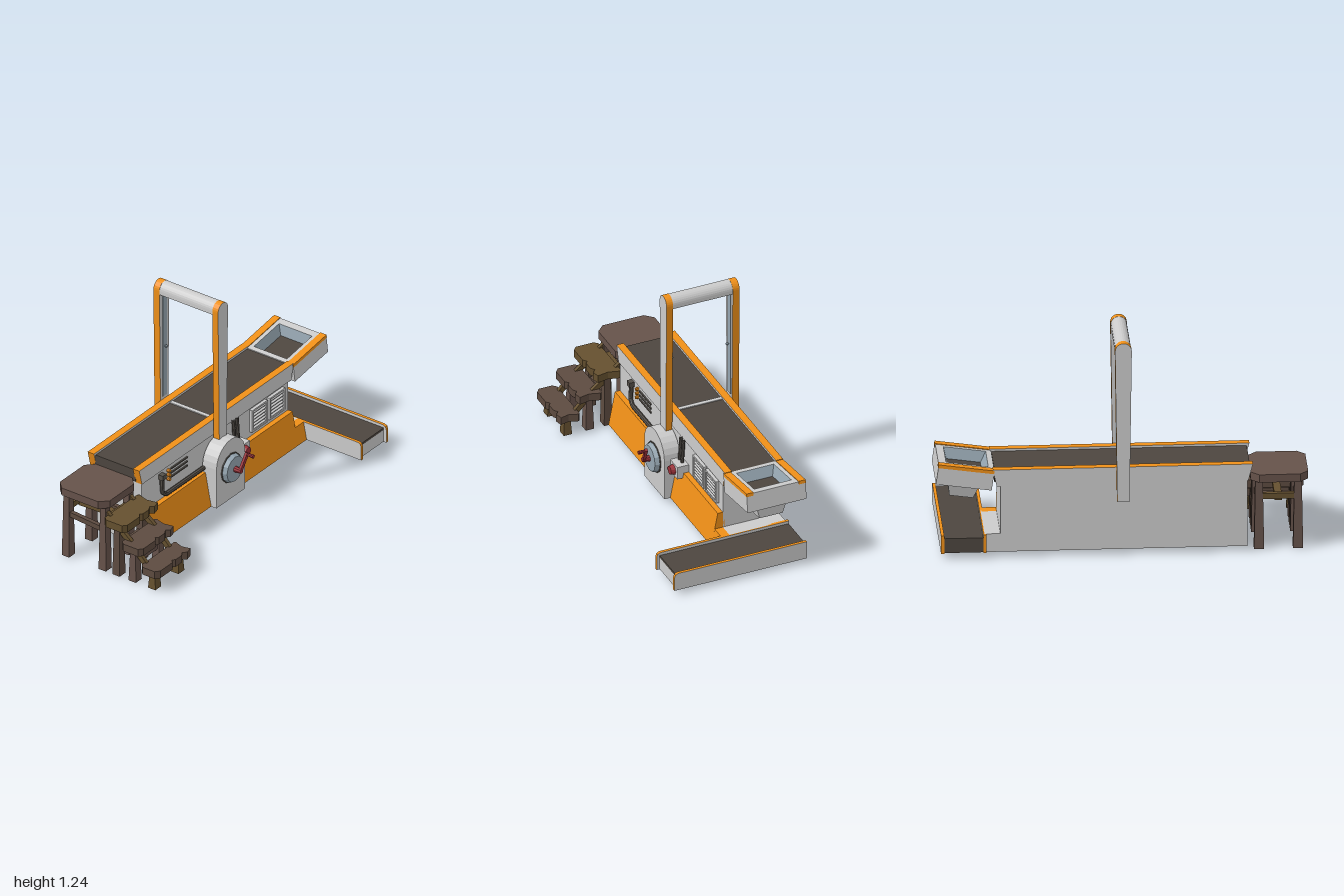
import * as THREE from 'three';

const mat = (color) => new THREE.MeshStandardMaterial({ color, flatShading: true });

export function createModel() {
  const root = new THREE.Group();
  const grey = mat(0xcccccc), orange = mat(0xf09018), dark = mat(0x4d463f);
  const blue = mat(0x95a5b0), red = mat(0x9a3038), pipeMat = mat(0x55504a);
  const brown = mat(0x66524a), olive = mat(0x65502f), umber = mat(0x5d4b40);
  const inner = mat(0x95a5b0);
  inner.side = THREE.DoubleSide;

  const add = (name, geo, material, parent = root) => {
    const m = new THREE.Mesh(geo, material);
    m.name = name;
    parent.add(m);
    return m;
  };
  // Box given by its limits on each axis
  const box = (name, material, x0, x1, y0, y1, z0, z1, parent = root) => {
    const m = add(name, new THREE.BoxGeometry(x1 - x0, y1 - y0, z1 - z0), material, parent);
    m.position.set((x0 + x1) / 2, (y0 + y1) / 2, (z0 + z1) / 2);
    return m;
  };
  const extrude = (shape, depth) =>
    new THREE.ExtrudeGeometry(shape, { depth, bevelEnabled: false, curveSegments: 8 });
  const poly = (pts) => new THREE.Shape(pts.map(([a, b]) => new THREE.Vector2(a, b)));
  // Side profile in [z, y], drawn out from x0 to x1
  const alongX = (name, material, pts, x0, x1) => {
    const g = extrude(poly(pts.map(([z, y]) => [-z, y])), x1 - x0).rotateY(Math.PI / 2);
    return add(name, g.translate(x0, 0, 0), material);
  };
  // Front profile in [x, y], drawn out from z0 to z1
  const alongZ = (name, material, pts, z0, z1) =>
    add(name, extrude(poly(pts), z1 - z0).translate(0, 0, z0), material);
  // Plan outline in [x, z], drawn out from y0 to y1
  const alongY = (name, material, pts, y0, y1) => {
    const g = extrude(poly(pts.map(([x, z]) => [x, -z])), y1 - y0).rotateX(-Math.PI / 2);
    return add(name, g.translate(0, y0, 0), material);
  };
  const arc = (r, cy, n = 12) => Array.from({ length: n + 1 }, (_, i) => {
    const a = (i / n) * Math.PI;
    return [r * Math.cos(a), cy + r * Math.sin(a)];
  });
  // Four-sided tapered block, w and d measured at the top
  const frustum = (w, d, h, k, open = false) =>
    new THREE.CylinderGeometry(Math.SQRT1_2, Math.SQRT1_2 * k, h, 4, 1, open)
      .rotateY(Math.PI / 4).scale(w, 1, d);
  // Straight bar between two points
  const bar = (name, material, a, b, w, d) => {
    const p = new THREE.Vector3(...a), q = new THREE.Vector3(...b);
    const m = add(name, new THREE.BoxGeometry(w, d, p.distanceTo(q)), material);
    m.position.copy(p).add(q).multiplyScalar(0.5);
    m.lookAt(q);
    return m;
  };
  const rodX = (name, material, r0, r1, x0, x1, y, z, n = 12) => {
    const m = add(name, new THREE.CylinderGeometry(r1, r0, x1 - x0, n), material);
    m.rotation.z = -Math.PI / 2;
    m.position.set((x0 + x1) / 2, y, z);
    return m;
  };

  // Main body and its flared lower panel
  box('body', grey, -0.363, -0.03, 0.03, 0.485, -0.66, 0.67);
  box('baseLink', grey, -0.363, -0.03, 0.03, 0.135, -0.745, -0.66);
  alongZ('lowerPanel', orange, [[-0.04, 0.03], [0.038, 0.03], [0, 0.23], [-0.04, 0.23]], -0.66, 0.67);
  alongZ('linkPanel', orange, [[-0.04, 0.03], [0.038, 0.03], [0.018, 0.135], [-0.04, 0.135]], -0.74, -0.66);

  // Belt and side rails
  const railSide = [[0.7, 0.505], [0.675, 0.41], [-0.68, 0.41], [-0.7, 0.505]].reverse();
  for (const x of [-0.367, -0.065]) alongX('rail', [grey, orange], railSide, x, x + 0.042);
  box('belt', dark, -0.33, -0.06, 0.42, 0.492, -0.69, 0.685);
  box('beltDivider', grey, -0.33, -0.06, 0.48, 0.497, -0.012, 0.012);

  // Tilted hopper at the back
  const hopper = new THREE.Group();
  hopper.name = 'hopper';
  hopper.position.set(-0.193, 0.518, -0.845);
  hopper.rotation.x = 0.142;
  root.add(hopper);
  const frame = poly([[-0.174, -0.155], [0.174, -0.155], [0.174, 0.148], [-0.174, 0.148]]);
  frame.holes.push(new THREE.Path([[-0.11, -0.125], [-0.11, 0.105], [0.11, 0.105], [0.11, -0.125]]
    .map(([x, y]) => new THREE.Vector2(x, y))));
  add('hopperFrame', extrude(frame, 0.11).rotateX(-Math.PI / 2).translate(0, -0.11, 0), grey, hopper);
  for (const s of [-1, 1])
    box('hopperRail', orange, s * 0.154 - 0.0205, s * 0.154 + 0.0205, -0.015, 0.004, -0.15, 0.155, hopper);
  add('hopperLining', frustum(0.22, 0.23, 0.06, 0.8, true), inner, hopper).position.set(0, -0.03, 0.01);
  box('hopperFloor', dark, -0.11, 0.11, -0.108, -0.058, -0.11, 0.125, hopper);
  add('hopperChute', frustum(0.19, 0.18, 0.1, 0.72), grey, hopper).position.set(0, -0.155, 0.01);

  // Arch over the belt
  const post = (low) => [[-0.033, low], [0.033, low], ...arc(0.045, 1.192)];
  alongX('archPostRight', [grey, orange], post(0.32).map(([z, y]) => [-z, y]), -0.41, -0.37);
  alongX('archPostLeft', [grey, orange], post(0.36).map(([z, y]) => [-z, y]), -0.017, 0.021);
  alongX('archBar', grey, [[-0.043, 1.17], [0.043, 1.17], ...arc(0.043, 1.193)].map(([z, y]) => [-z, y]), -0.372, -0.015);
  for (const [x, s] of [[-0.37, 1], [-0.017, -1]]) {
    box('postInset', blue, x - 0.003, x + 0.003, 0.52, 1.15, -0.018, 0.018);
    add('postSensor', new THREE.SphereGeometry(0.008, 8, 6), blue).position.set(x + s * 0.014, 0.832, 0);
    rodX('sensorStem', blue, 0.004, 0.004, x - 0.014, x + 0.014, 0.832, 0, 6);
  }

  // Crank housing, dial and crank
  alongX('housing', grey, [[-0.13, 0.03], [0.13, 0.03], ...arc(0.13, 0.27)].map(([z, y]) => [-z, y]), -0.02, 0.073);
  rodX('dial', blue, 0.086, 0.075, 0.07, 0.103, 0.225, 0);
  rodX('dialRim', pipeMat, 0.089, 0.089, 0.06, 0.078, 0.225, 0);
  rodX('crankHub', red, 0.018, 0.014, 0.1, 0.145, 0.225, 0, 8);
  bar('crankArm', red, [0.135, 0.215, 0.005], [0.145, 0.318, -0.052], 0.016, 0.018);
  rodX('crankHandle', red, 0.008, 0.011, 0.14, 0.19, 0.31, -0.048, 8);

  // Louvred vents
  for (const z of [-0.38, -0.54]) {
    box('ventBack', blue, -0.035, -0.022, 0.265, 0.395, z - 0.068, z + 0.068);
    for (const s of [-1, 1]) {
      box('ventSide', grey, -0.03, -0.012, 0.262, 0.398, z + s * 0.065 - 0.006, z + s * 0.065 + 0.006);
      box('ventEdge', grey, -0.03, -0.012, 0.33 + s * 0.064 - 0.005, 0.33 + s * 0.064 + 0.005, z - 0.07, z + 0.07);
    }
    for (let i = 0; i < 6; i++) {
      const slat = box('ventSlat', grey, -0.027, -0.012, -0.004, 0.004, z - 0.053, z + 0.053);
      slat.position.y = 0.28 + i * 0.02;
      slat.rotation.z = -0.4;
    }
  }

  // Indicator buttons, slots and pipework
  for (const y of [0.38, 0.354, 0.328]) {
    rodX('indicator', orange, 0.011, 0.009, -0.035, -0.012, y, 0.432, 8);
    box('slot', pipeMat, -0.035, -0.022, y - 0.004, y + 0.004, 0.26, 0.408);
  }
  const pipe = (name, pts, r) => {
    const path = new THREE.CurvePath();
    const v = pts.map((p) => new THREE.Vector3(...p));
    for (let i = 1; i < v.length; i++) path.add(new THREE.LineCurve3(v[i - 1], v[i]));
    add(name, new THREE.TubeGeometry(path, 24, r, 8), pipeMat);
  };
  pipe('longPipe', [[-0.02, 0.385, 0.5], [-0.015, 0.28, 0.5], [-0.013, 0.255, 0.475], [-0.013, 0.255, 0.11]], 0.013);
  box('pipeClip', pipeMat, -0.035, 0, 0.362, 0.392, 0.483, 0.517);
  for (const z of [-0.147, -0.18]) pipe('shortPipe', [[-0.018, 0.42, z], [-0.008, 0.26, z]], 0.01);

  // Stop button
  box('stopBox', grey, -0.03, 0.038, 0.2, 0.275, -0.22, -0.13);
  rodX('stopButton', red, 0.03, 0.024, 0.035, 0.063, 0.237, -0.173, 12);

  // Cross conveyor at the back
  const wall = [[-0.38, 0.03], [0.402, 0.03], [0.402, 0.11], [0.396, 0.127], [0.38, 0.135], [-0.38, 0.135]];
  for (const z of [-0.752, -0.98]) alongZ('conveyorWall', [grey, orange], wall, z, z + 0.017);
  box('conveyorBed', grey, -0.37, 0.385, 0.032, 0.105, -0.965, -0.75);
  box('conveyorBelt', dark, -0.376, 0.385, 0.1, 0.118, -0.965, -0.75);
  box('conveyorEnd', dark, -0.377, -0.365, 0.035, 0.118, -0.965, -0.75);

  // Tall stool with three steps
  const leg = (material, x, z, top) => {
    const m = add('leg', frustum(0.036, 0.04, top, 1.35), material);
    m.position.set(x, top / 2, z);
  };
  const x0 = -0.365, x1 = -0.032, z0 = 0.69, z1 = 1, c = 0.045;
  alongY('stoolSeat', brown, [[x0 + c, z0], [x0, z0 + c], [x0, z1 - c], [x0 + c, z1],
    [x1 - c, z1], [x1, z1 - c], [x1, z0 + c], [x1 - c, z0]], 0.395, 0.44);
  for (const z of [0.735, 0.945]) {
    for (const x of [-0.315, -0.07]) leg(brown, x, z, 0.4);
    bar('stoolRung', umber, [-0.315, 0.262, z], [-0.07, 0.243, z], 0.025, 0.03);
    bar('stepBrace', olive, [-0.07, 0.36, z], [0.14, 0.195, z], 0.022, 0.03);
    bar('stepBrace', olive, [0.13, 0.2, z], [0.23, 0.095, z], 0.022, 0.03);
  }
  for (const x of [-0.315, -0.07]) bar('stoolRung', olive, [x, 0.3, 0.735], [x, 0.3, 0.945], 0.025, 0.032);
  bar('stoolRung', olive, [-0.31, 0.285, 0.84], [-0.07, 0.29, 0.84], 0.04, 0.03);

  const steps = [
    [-0.045, 0.102, 0.345, 0.022, olive, umber],
    [0.07, 0.208, 0.235, 0.13, umber, brown],
    [0.2, 0.32, 0.135, 0.26, umber, olive],
  ];
  for (const [a, b, top, legX, seatMat, legMat] of steps) {
    alongY('step', seatMat, [[a, 0.69], [a + 0.01, 0.682], [(a + b) / 2, 0.7], [b - 0.01, 0.688],
      [b, 0.73], [b - 0.02, 0.75], [b - 0.004, 0.775], [b - 0.004, 0.83], [b - 0.018, 0.845],
      [b, 0.865], [b, 0.975], [b - 0.02, 1], [a + 0.02, 1], [a, 0.98]].reverse(), top - 0.045, top);
    for (const z of [0.735, 0.945]) leg(legMat, legX, z, top - 0.04);
    bar('stepRung', legMat, [legX, top * 0.5, 0.735], [legX, top * 0.5, 0.945], 0.022, 0.028);
  }
  return root;
}
